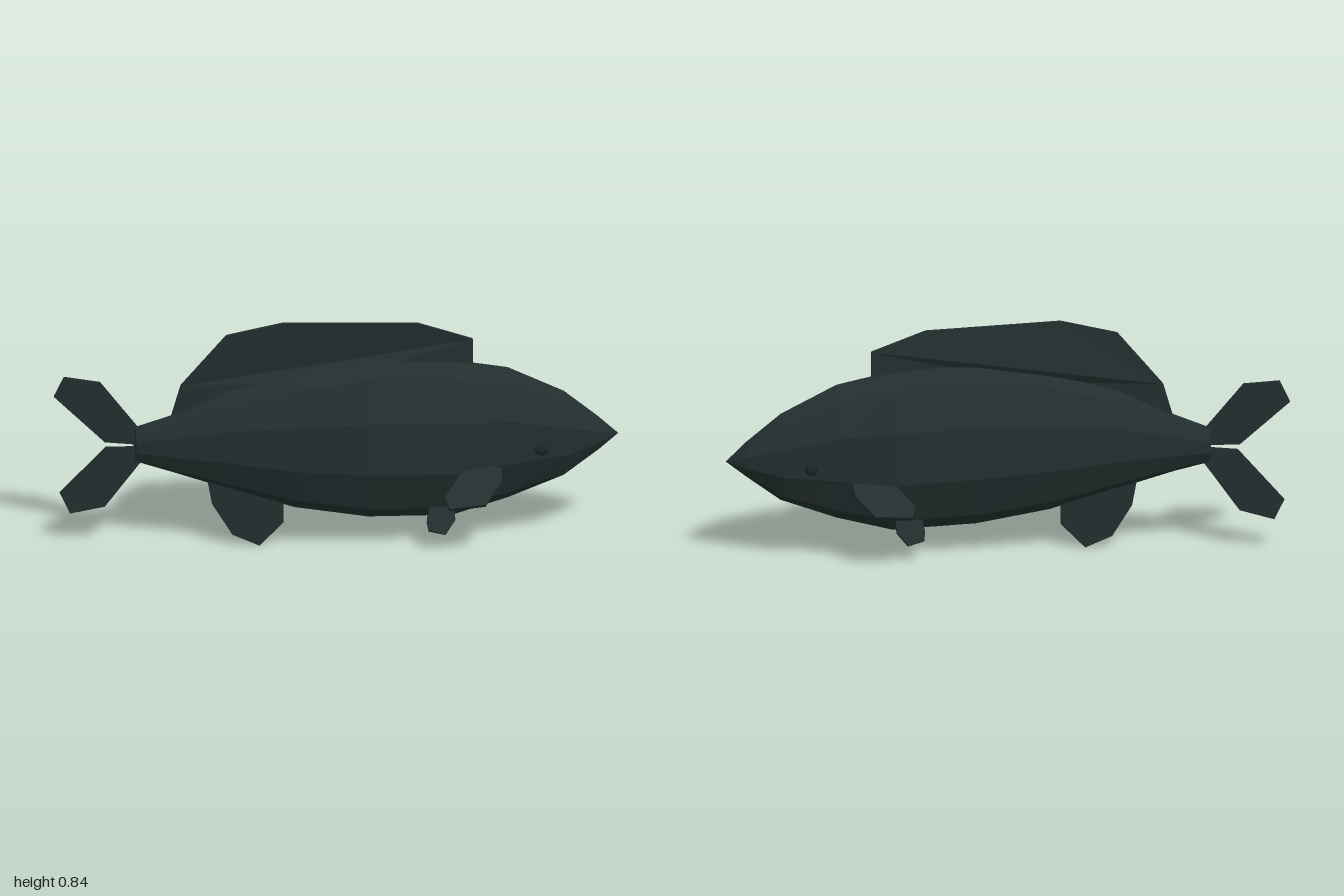
import * as THREE from 'three';

// Body stations from tail to nose: x, top y, bottom y, spine z, half width
const STATIONS = [
  [-0.72, 0.45, 0.32, -0.097, 0.042],
  [-0.6, 0.495, 0.285, -0.073, 0.06],
  [-0.4, 0.59, 0.22, -0.045, 0.093],
  [-0.16, 0.66, 0.145, -0.018, 0.126],
  [0.1, 0.70, 0.1, -0.005, 0.144],
  [0.4, 0.68, 0.09, -0.004, 0.14],
  [0.6, 0.64, 0.145, -0.006, 0.123],
  [0.8, 0.54, 0.22, -0.004, 0.1],
  [0.92, 0.44, 0.31, -0.002, 0.052],
  [0.995, 0.37, 0.37, 0, 0],
];

// Ten-sided cross-section as [width, height] factors, from the back ridge round the +z side
const HALF = [[0.6, 0.83], [1, 0.35], [1, -0.3], [0.6, -0.8]];
const SECTION = [[0, 1], ...HALF, [0, -1], ...HALF.map(([w, h]) => [-w, h]).reverse()];

// Sideways curve of the spine, carried on straight behind the tail root
function spineZ(x) {
  if (x <= -0.72) return -0.097 + (x + 0.72) * 0.235;
  for (let i = 1; i < STATIONS.length; i++) {
    const a = STATIONS[i - 1], b = STATIONS[i];
    if (x <= b[0]) return THREE.MathUtils.mapLinear(x, a[0], b[0], a[3], b[3]);
  }
  return 0;
}

function bodyGeometry() {
  const pos = [], index = [], n = SECTION.length;
  for (const [x, top, bottom, z, hw] of STATIONS) {
    for (const [w, h] of SECTION) pos.push(x, (top + bottom) / 2 + h * (top - bottom) / 2, z + w * hw);
  }
  for (let s = 0; s < STATIONS.length - 1; s++) {
    for (let i = 0; i < n; i++) {
      const a = s * n + i, b = s * n + (i + 1) % n;
      if (s < STATIONS.length - 2) index.push(a, b, a + n, b, b + n, a + n);
      else index.push(a, b, a + n);
    }
  }
  for (let i = 1; i < n - 1; i++) index.push(0, i + 1, i); // flat tail end
  const geo = new THREE.BufferGeometry();
  geo.setAttribute('position', new THREE.Float32BufferAttribute(pos, 3));
  geo.setIndex(index);
  geo.computeVertexNormals();
  return geo;
}

// Thin plate from an outline, centred on z = 0
function plate(points, thickness) {
  const shape = new THREE.Shape(points.map(([x, y]) => new THREE.Vector2(x, y)));
  const geo = new THREE.ExtrudeGeometry(shape, { depth: thickness, bevelEnabled: false });
  return geo.translate(0, 0, -thickness / 2);
}

// Upright fin that follows the spine
function spineFin(points, thickness) {
  const geo = plate(points, thickness), p = geo.attributes.position;
  for (let i = 0; i < p.count; i++) p.setZ(i, p.getZ(i) + spineZ(p.getX(i)));
  geo.computeVertexNormals();
  return geo;
}

export function createModel() {
  const fish = new THREE.Group();
  fish.name = 'fish';
  const skin = new THREE.MeshStandardMaterial({ color: 0x222e2e, flatShading: true });
  skin.name = 'dark green grey';
  const eyeColor = new THREE.MeshStandardMaterial({ color: 0x1b2425 });
  eyeColor.name = 'eye dark grey';

  const add = (name, geo, mat = skin, parent = fish) => {
    const mesh = new THREE.Mesh(geo, mat);
    mesh.name = name;
    parent.add(mesh);
    return mesh;
  };

  add('body', bodyGeometry());

  // Fins on the centre line
  add('dorsalFin', spineFin([
    [-0.6, 0.47], [-0.56, 0.61], [-0.4, 0.8], [-0.2, 0.845], [0.28, 0.825], [0.475, 0.755],
    [0.475, 0.65], [0.1, 0.66], [-0.16, 0.62], [-0.4, 0.55],
  ], 0.014));
  add('analFin', spineFin([
    [-0.47, 0.27], [-0.45, 0.16], [-0.38, 0.045], [-0.285, 0.003], [-0.2, 0.09], [-0.2, 0.2],
  ], 0.016));
  add('upperTailFin', spineFin([
    [-0.71, 0.45], [-0.84, 0.615], [-0.965, 0.63], [-1, 0.555], [-0.825, 0.39], [-0.71, 0.385],
  ], 0.012));
  add('lowerTailFin', spineFin([
    [-0.71, 0.375], [-0.82, 0.37], [-0.98, 0.19], [-0.945, 0.115], [-0.825, 0.145], [-0.7, 0.32],
  ], 0.012));

  // Paired fins and eyes: outlines run down from the root, then tilt outwards
  for (const [label, side] of [['left', 1], ['right', -1]]) {
    const pectoral = add(label === 'left' ? 'nearPectoralFin' : 'farPectoralFin', plate([
      [0.43, 0.02], [0.345, -0.095], [0.36, -0.14], [0.49, -0.13], [0.555, -0.045], [0.56, 0.005], [0.5, 0.02],
    ], 0.02));
    pectoral.position.set(0, 0.3, side * 0.128);
    pectoral.rotation.x = -side * 0.75;

    const pelvic = add(label === 'left' ? 'nearPelvicFin' : 'farPelvicFin', plate([
      [0.31, 0.03], [0.297, -0.045], [0.302, -0.078], [0.36, -0.093], [0.397, -0.045], [0.4, 0.03],
    ], 0.02));
    pelvic.position.set(0, 0.147, side * 0.077);
    pelvic.rotation.x = -side * 0.48;

    const eye = add(label === 'left' ? 'nearEye' : 'farEye', new THREE.SphereGeometry(0.024, 10, 8), eyeColor);
    eye.scale.z = 0.6;
    eye.position.set(0.705, 0.365, side * 0.112 - 0.005);
  }
  return fish;
}
